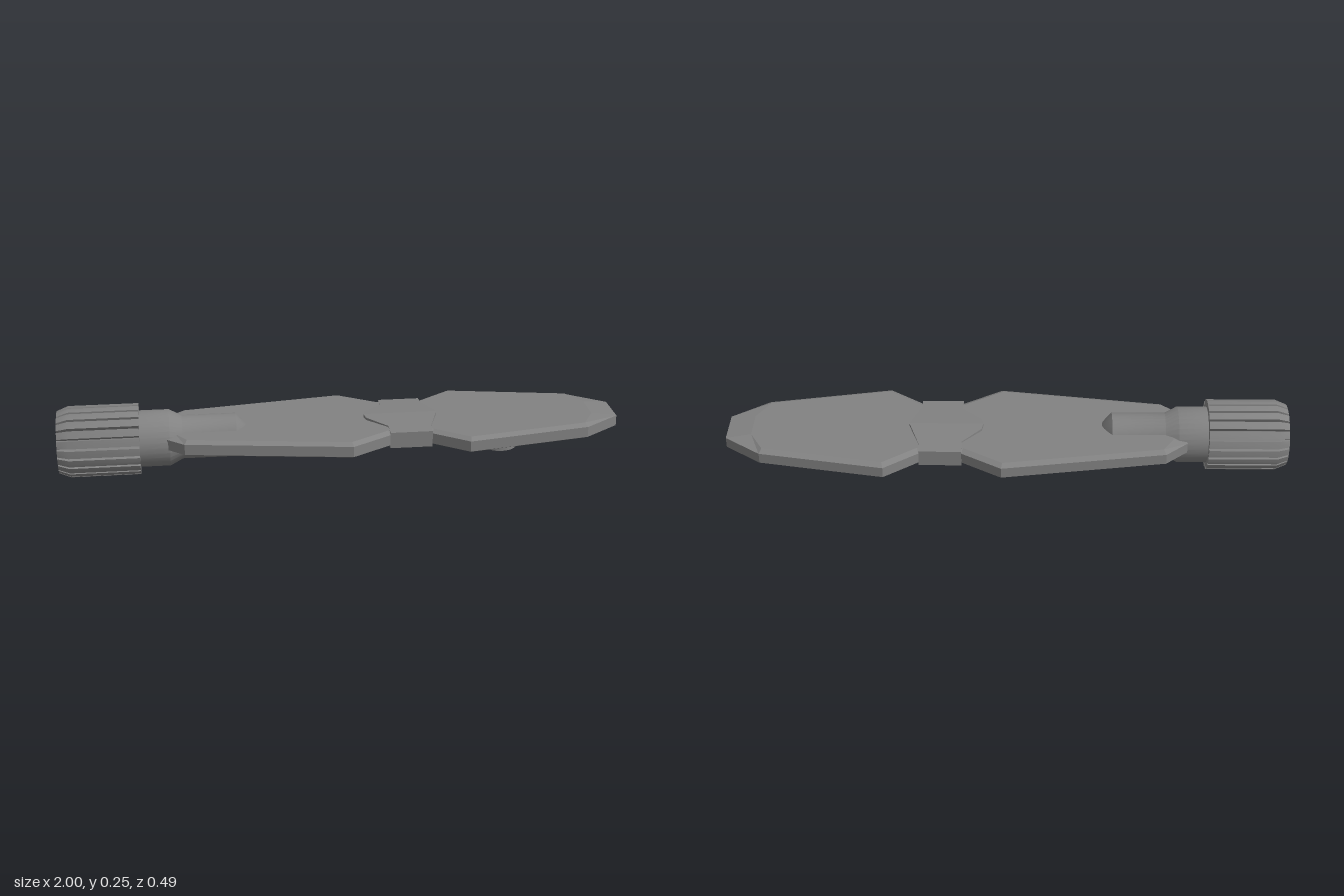
import * as THREE from 'three';
import { toCreasedNormals } from 'three/addons/utils/BufferGeometryUtils.js';

const flat = new THREE.MeshStandardMaterial({ color: 0x828282, flatShading: true });
const smooth = new THREE.MeshStandardMaterial({ color: 0x828282 });
const AXIS_Y = 0.128, AXIS_Z = 0.012;

const add = (group, name, geometry, material) => {
  const mesh = new THREE.Mesh(geometry, material);
  mesh.name = name;
  group.add(mesh);
  return mesh;
};

const outline = (pts) => new THREE.Shape(pts.map(([x, z]) => new THREE.Vector2(x, z)));

const lathe = (pts, segments) => toCreasedNormals(
  new THREE.LatheGeometry(pts.map(([r, y]) => new THREE.Vector2(r, y)), segments), 0.5);

// Moves every vertex by a rule
function reshape(geometry, rule) {
  const p = geometry.attributes.position, v = new THREE.Vector3();
  for (let i = 0; i < p.count; i++) {
    rule(v.fromBufferAttribute(p, i));
    p.setXYZ(i, v.x, v.y, v.z);
  }
  geometry.computeVertexNormals();
  return geometry;
}

// Flat bevelled blade with a waist; the bevels are long at both ends
function bladeGeometry() {
  const half = [[-0.64, 0.09], [-0.56, 0.16], [0.02, 0.247], [0.16, 0.158],
    [0.31, 0.158], [0.43, 0.247], [0.87, 0.164], [1, 0.068]];
  const mirrored = half.map(([x, z]) => [x, -z]).reverse();
  const g = new THREE.ExtrudeGeometry(outline([...half, ...mirrored]), {
    depth: 0.038, bevelEnabled: true, bevelSize: 0.02, bevelOffset: -0.02,
    bevelThickness: 0.01, bevelSegments: 1,
  });
  g.rotateX(Math.PI / 2).translate(0, 0.158, 0);
  return reshape(g, (v) => {
    if (Math.abs(v.y - 0.139) > 0.025) v.x = THREE.MathUtils.clamp(v.x, -0.59, 0.91);
  });
}

// One half of the ridged wrap around the waist
function wrapGeometry() {
  const g = new THREE.ExtrudeGeometry(outline([[0.085, 0], [0.09, 0.03], [0.16, 0.105],
    [0.16, 0.161], [0.31, 0.161], [0.31, 0.12], [0.35, 0]]), { depth: 0.08, bevelEnabled: false });
  g.rotateX(Math.PI / 2).translate(0, 0.179, 0);
  return reshape(g, (v) => { v.y = 0.139 + (v.y - 0.139) * (1 - 1.7 * v.z); });
}

// Grooved knob: toothed cross-sections joined along x, with a hollow outer end
function knobGeometry() {
  const teeth = 22, tooth = [[-0.5, 0], [-0.38, 1], [0, 1], [0.38, 1]];
  // x, radius on the teeth, radius in the grooves
  const sections = [[-0.88, 0, 0], [-0.88, 0.072, 0.072], [-0.98, 0.072, 0.072],
    [-1, 0.082, 0.082], [-1, 0.11, 0.103], [-0.96, 0.126, 0.105],
    [-0.715, 0.126, 0.105], [-0.715, 0, 0]];
  const n = teeth * tooth.length, pos = [], index = [];
  for (const [x, rTooth, rGroove] of sections) {
    for (let i = 0; i < n; i++) {
      const [offset, up] = tooth[i % tooth.length];
      const a = ((Math.floor(i / tooth.length) + offset + 0.5) / teeth) * Math.PI * 2;
      const r = up ? rTooth : rGroove;
      pos.push(x, AXIS_Y + r * Math.cos(a), AXIS_Z + r * Math.sin(a));
    }
  }
  for (let s = 0; s < sections.length - 1; s++) {
    for (let i = 0; i < n; i++) {
      const a = s * n + i, b = s * n + (i + 1) % n;
      index.push(a, b, a + n, b, b + n, a + n);
    }
  }
  const g = new THREE.BufferGeometry();
  g.setAttribute('position', new THREE.Float32BufferAttribute(pos, 3));
  g.setIndex(index);
  return toCreasedNormals(g, 0.4);
}

export function createModel() {
  const model = new THREE.Group();
  model.name = 'bladeWithKnob';

  add(model, 'blade', bladeGeometry(), flat);

  const wrap = new THREE.Group();
  wrap.name = 'waistWrap';
  const half = wrapGeometry();
  add(wrap, 'wrapFront', half, flat);
  add(wrap, 'wrapBack', half, flat).scale.z = -1;
  model.add(wrap);

  // Shaft with a wide collar and a pointed end sunk into the blade
  const shaft = add(model, 'shaft', lathe([[0, -0.72], [0.1, -0.72], [0.1, -0.61],
    [0.077, -0.565], [0.077, -0.375], [0.035, -0.335], [0, -0.325]], 32), smooth);
  shaft.rotation.z = -Math.PI / 2;
  shaft.position.set(0, AXIS_Y, AXIS_Z);

  add(model, 'knob', knobGeometry(), smooth);

  // Hollow studs under the blade
  const ring = lathe([[0.048, 0.112], [0.048, 0.08], [0.064, 0.08], [0.064, 0.112]], 28);
  for (const [x, z] of [[-0.16, 0], [0.56, 0.098], [0.56, -0.098], [0.71, 0]]) {
    add(model, 'stud', ring, smooth).position.set(x, 0, z);
  }
  return model;
}
